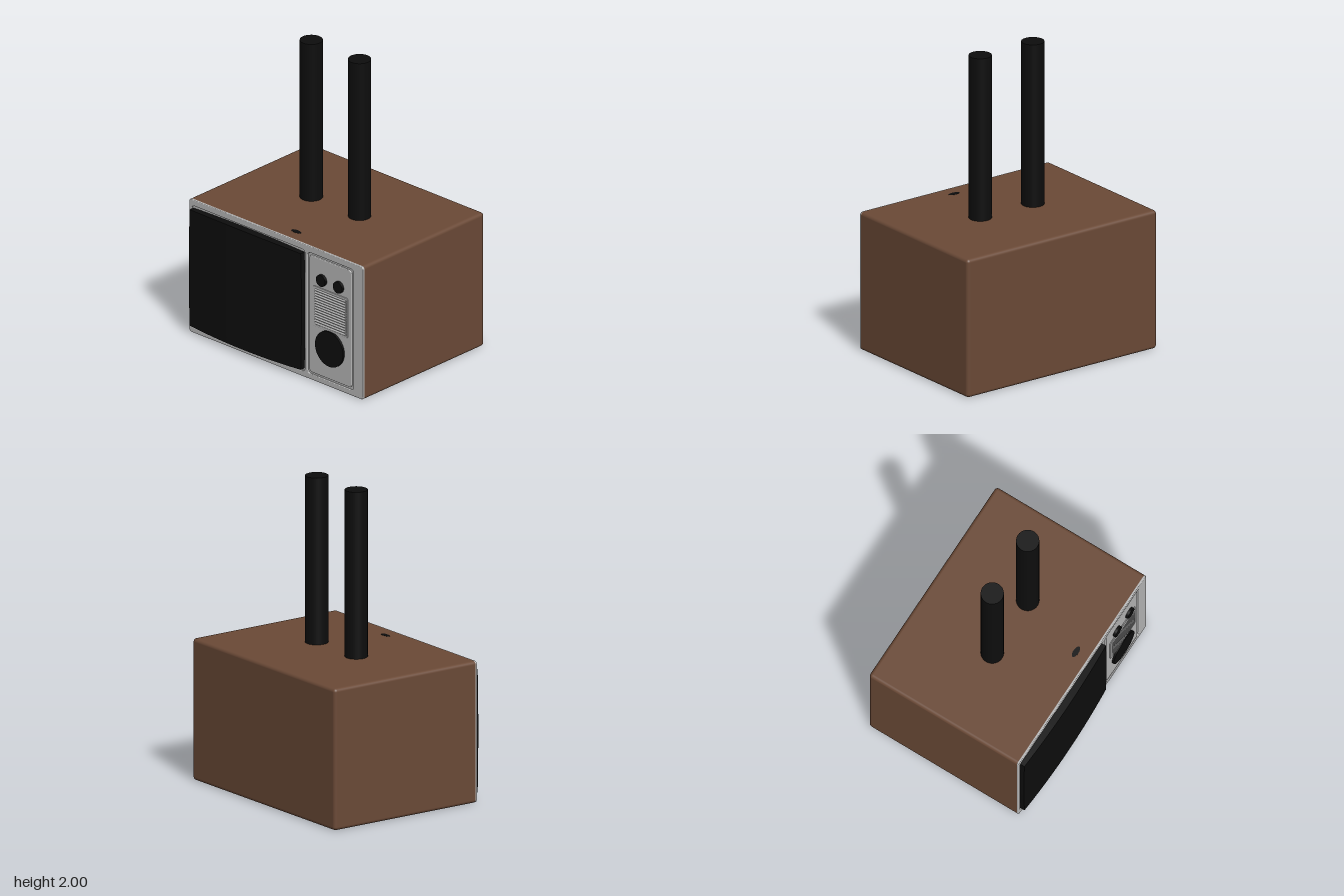
import * as THREE from 'three';
import { RoundedBoxGeometry } from 'three/addons/geometries/RoundedBoxGeometry.js';

export function createModel() {
  const tv = new THREE.Group();
  tv.name = 'television';

  const material = (name, color) => {
    const m = new THREE.MeshStandardMaterial({ color });
    m.name = name;
    return m;
  };
  const brown = material('brown cabinet', 0x6a4936);
  const silver = material('silver trim', 0xb6b6b6);
  const black = material('black', 0x0d0d0d);

  const add = (name, geometry, mat, x, y, z, parent = tv) => {
    const mesh = new THREE.Mesh(geometry, mat);
    mesh.name = name;
    mesh.position.set(x, y, z);
    parent.add(mesh);
    return mesh;
  };

  // Rounded rectangle outline, used for shapes and holes
  const roundRect = (path, x0, y0, x1, y1, r) => {
    path.moveTo(x0 + r, y0);
    path.lineTo(x1 - r, y0);
    path.absarc(x1 - r, y0 + r, r, -Math.PI / 2, 0);
    path.lineTo(x1, y1 - r);
    path.absarc(x1 - r, y1 - r, r, 0, Math.PI / 2);
    path.lineTo(x0 + r, y1);
    path.absarc(x0 + r, y1 - r, r, Math.PI / 2, Math.PI);
    path.lineTo(x0, y0 + r);
    path.absarc(x0 + r, y0 + r, r, Math.PI, Math.PI * 1.5);
    return path;
  };
  const bevelled = (shape, depth, bevel) => new THREE.ExtrudeGeometry(shape, {
    depth, bevelEnabled: true, bevelThickness: bevel, bevelSize: bevel, bevelSegments: 4, curveSegments: 6,
  });

  // Cabinet: rounded at the back, cut flat where the front frame sits
  const body = new RoundedBoxGeometry(1.49, 0.918, 1.13, 4, 0.022);
  const bp = body.attributes.position;
  for (let i = 0; i < bp.count; i++) bp.setZ(i, Math.min(bp.getZ(i), 0.53));
  add('cabinet', body, brown, 0, 0.46, -0.011);

  // Front backing plate and raised frame around the screen and controls
  add('frontPlate', new THREE.BoxGeometry(1.45, 0.88, 0.006), silver, 0, 0.46, 0.519);
  const b = 0.006;
  const frame = roundRect(new THREE.Shape(), -0.745 + b, 0.002 + b, 0.745 - b, 0.918 - b, 0.014);
  frame.holes.push(
    roundRect(new THREE.Path(), -0.725 - b, 0.04 - b, 0.245 + b, 0.875 + b, 0.03),
    roundRect(new THREE.Path(), 0.268 - b, 0.04 - b, 0.66 + b, 0.872 + b, 0.03));
  add('frontFrame', bevelled(frame, 0.004, b), silver, 0, 0, 0.522);

  // Screen, bowed forward across its width with gently curved edges
  const screen = new THREE.BoxGeometry(0.95, 0.8, 0.05, 24, 24, 1);
  const sp = screen.attributes.position;
  for (let i = 0; i < sp.count; i++) {
    const u = sp.getX(i) / 0.475, v = sp.getY(i) / 0.4;
    sp.setX(i, sp.getX(i) + u * 0.007 * (1 - v * v));
    sp.setY(i, sp.getY(i) + v * 0.009 * (1 - u * u));
    if (sp.getZ(i) > 0) sp.setZ(i, 0.027 + 0.018 * (1 - u * u));
  }
  screen.computeVertexNormals();
  add('screen', screen, black, -0.241, 0.457, 0.53);

  // Control panel
  const controls = new THREE.Group();
  controls.name = 'controls';
  tv.add(controls);
  const panel = roundRect(new THREE.Shape(), 0.287, 0.059, 0.638, 0.853, 0.018);
  add('controlPanel', bevelled(panel, 0.003, b), silver, 0, 0, 0.522, controls);

  // Speaker grille: frame with horizontal slats
  const grille = roundRect(new THREE.Shape(), 0.322, 0.387, 0.61, 0.657, 0.008);
  grille.holes.push(roundRect(new THREE.Path(), 0.334, 0.396, 0.602, 0.646, 0.006));
  add('grilleFrame', bevelled(grille, 0.003, 0.003), silver, 0, 0, 0.531, controls);
  const slats = 14;
  const slat = new THREE.CylinderGeometry(0.0075, 0.0075, 0.262, 10).rotateZ(Math.PI / 2);
  for (let i = 0; i < slats; i++) {
    add('grilleSlat', slat, silver, 0.468, 0.406 + i * 0.23 / (slats - 1), 0.535, controls);
  }

  // Tuning knobs and the large dial
  const knob = (name, x, y, r, z1) =>
    add(name, new THREE.CylinderGeometry(r, r, z1 - 0.52, 40).rotateX(Math.PI / 2), black, x, y, (z1 + 0.52) / 2, controls);
  knob('smallKnob', 0.395, 0.718, 0.039, 0.549);
  knob('smallKnob', 0.54, 0.718, 0.039, 0.549);
  knob('largeDial', 0.465, 0.268, 0.12, 0.545);

  // Pair of thick upright antennas
  for (const x of [-0.203, 0.21]) {
    add('antenna', new THREE.CylinderGeometry(0.0725, 0.0725, 1.1, 40), black, x, 1.45, -0.006);
  }

  // Small dark mark on the top
  add('topMark', new THREE.CylinderGeometry(0.04, 0.04, 0.002, 20).scale(1, 1, 0.45), black, 0.08, 0.919, 0.433);

  return tv;
}
